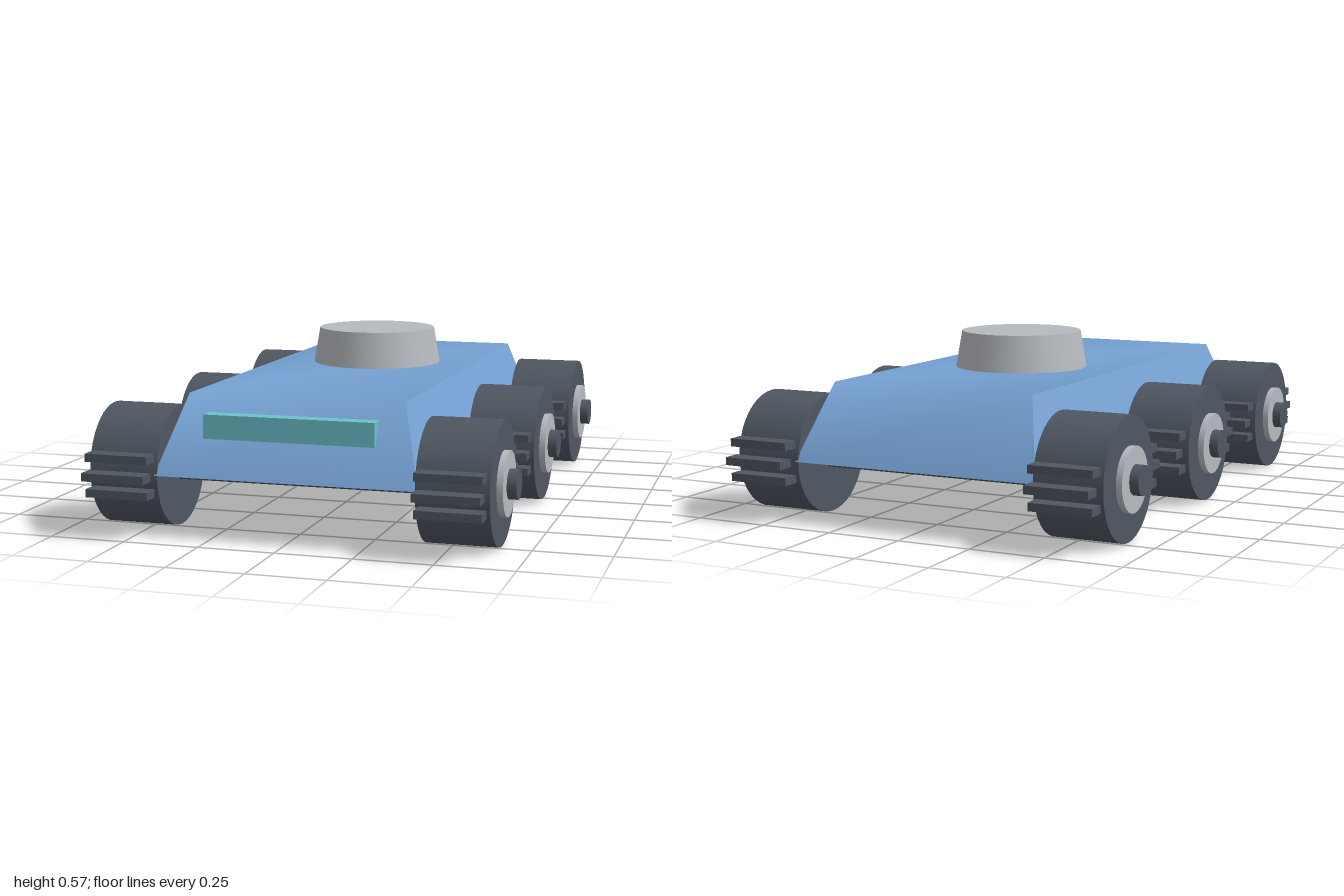
import * as THREE from 'three';
import { toCreasedNormals } from 'three/addons/utils/BufferGeometryUtils.js';

export function createModel() {
  const model = new THREE.Group();
  model.name = 'sixWheeledRover';

  const mat = (name, color) => {
    const m = new THREE.MeshStandardMaterial({ color });
    m.name = name;
    return m;
  };
  const blue = mat('hullBlue', 0x78a5d8);
  const grey = mat('lightGrey', 0xb6babf);
  const dark = mat('tyreDark', 0x505762);
  const teal = mat('windowTeal', 0x6cc2cb);

  const add = (parent, name, geometry, material, x, y, z) => {
    const mesh = new THREE.Mesh(geometry, material);
    mesh.name = name;
    mesh.position.set(x, y, z);
    parent.add(mesh);
    return mesh;
  };
  const drum = (radius, length, sides) =>
    new THREE.CylinderGeometry(radius, radius, length, sides).rotateZ(Math.PI / 2);

  // Hull: a box narrowed towards its top, rounded in shading over nose, deck and tail
  let hull = new THREE.BoxGeometry(0.86, 0.25, 1.83);
  const p = hull.attributes.position;
  for (let i = 0; i < p.count; i++) {
    if (p.getY(i) > 0) p.setXYZ(i, Math.sign(p.getX(i)) * 0.357, 0.125, Math.sign(p.getZ(i)) * 0.785);
  }
  hull = toCreasedNormals(hull, 1.2);
  add(model, 'hull', hull, blue, 0, 0.325, 0);

  // Turret and front window block
  add(model, 'turret', new THREE.CylinderGeometry(0.208, 0.23, 0.127, 24), grey, 0, 0.512, -0.136);
  add(model, 'frontWindow', new THREE.BoxGeometry(0.56, 0.077, 0.056), teal, 0, 0.357, 0.838);

  // Shared running gear geometry
  const axle = drum(0.048, 1.4, 20);
  const mount = new THREE.CylinderGeometry(0.045, 0.07, 0.03, 20);
  const tyre = drum(0.198, 0.23, 40);
  const hub = drum(0.104, 0.22, 28);
  const cleat = new THREE.BoxGeometry(0.21, 0.026, 0.06);

  for (const z of [0.715, 0, -0.715]) {
    const set = new THREE.Group();
    set.name = 'axleSet';
    set.position.set(0, 0.2, z);
    model.add(set);
    add(set, 'axle', axle, dark, 0, 0, 0);
    add(set, 'axleMount', mount, grey, 0, -0.005, 0);

    for (const side of [1, -1]) {
      const wheel = new THREE.Group();
      wheel.name = side > 0 ? 'leftWheel' : 'rightWheel';
      wheel.position.x = side * 0.535;
      set.add(wheel);
      add(wheel, 'tyre', tyre, dark, 0, 0, 0);
      add(wheel, 'hub', hub, grey, side * 0.025, 0, 0);

      // Three cleats ahead of and behind each tyre
      for (const end of [1, -1]) {
        for (const row of [-1, 0, 1]) {
          add(wheel, 'cleat', cleat, dark, 0, row * 0.057, end * (row ? 0.226 : 0.255));
        }
      }
    }
  }
  return model;
}
